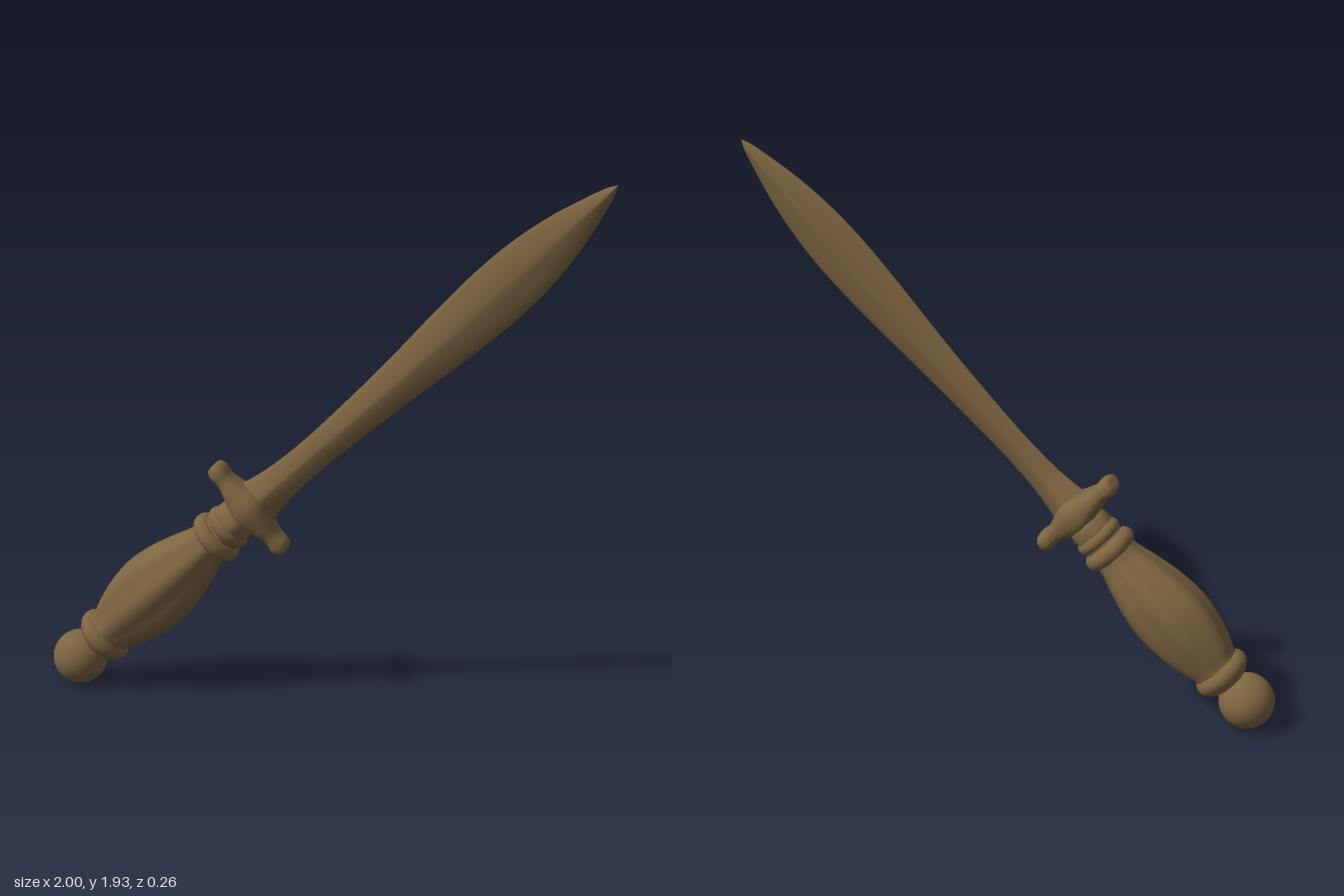
import * as THREE from 'three';

// Closed loft along +y from rows of [height, halfWidthX, halfWidthZ].
// section(angle, v) gives a unit outline point; shift(y) moves the centre in x.
function loft(rows, sides, section, shift = () => 0) {
  const curve = new THREE.CatmullRomCurve3(rows.map((r) => new THREE.Vector3(...r)));
  const steps = (rows.length - 1) * 6;
  const pos = [], index = [];
  for (let j = 0; j <= steps; j++) {
    const v = j / steps, p = curve.getPoint(v);
    for (let i = 0; i < sides; i++) {
      const [x, z] = section((i / sides) * Math.PI * 2, v);
      pos.push(x * Math.max(p.y, 0) + shift(p.x), p.x, z * Math.max(p.z, 0));
      if (j === steps) continue;
      const a = j * sides + i, b = j * sides + ((i + 1) % sides);
      index.push(a, a + sides, b, b, a + sides, b + sides);
    }
  }
  const g = new THREE.BufferGeometry();
  g.setAttribute('position', new THREE.Float32BufferAttribute(pos, 3));
  g.setIndex(index);
  g.computeVertexNormals();
  return g;
}

// Outline with rounded (power 1) to diamond (power 2) corners
const outline = (power) => (a) => [Math.cos(a), Math.sin(a)].map(
  (c) => Math.sign(c) * Math.abs(c) ** power);

export function createModel() {
  const bronze = new THREE.MeshStandardMaterial({ color: 0x7d6541 });
  bronze.name = 'bronze';
  const dagger = new THREE.Group();
  dagger.name = 'dagger';
  const add = (name, geometry) => {
    const mesh = new THREE.Mesh(geometry, bronze);
    mesh.name = name;
    dagger.add(mesh);
    return mesh;
  };

  // Ball pommel
  add('pommel', new THREE.SphereGeometry(0.1, 40, 28));

  // Swollen grip with soft, slightly twisted flutes
  const flutes = (a, v) => {
    const r = 1 + 0.035 * Math.sin(Math.PI * v) * Math.cos(7 * a + 2.5 * v);
    return [r * Math.cos(a), r * Math.sin(a)];
  };
  add('grip', loft([
    [0.08, 0, 0], [0.1, 0.085, 0.085], [0.17, 0.09, 0.09], [0.22, 0.11, 0.1],
    [0.3, 0.132, 0.117], [0.4, 0.142, 0.126], [0.5, 0.13, 0.122],
    [0.6, 0.105, 0.105], [0.68, 0.082, 0.085], [0.76, 0.077, 0.077],
    [0.86, 0.07, 0.07], [0.88, 0, 0],
  ], 56, flutes));

  // Rounded collars at both ends of the grip
  for (const [name, s, radius, tube] of [
    ['pommelCollar', 0.135, 0.071, 0.036],
    ['upperCollar', 0.73, 0.07, 0.032],
    ['guardCollar', 0.79, 0.062, 0.026],
  ]) {
    const collar = add(name, new THREE.TorusGeometry(radius, tube, 14, 44));
    collar.rotation.x = Math.PI / 2;
    collar.position.y = s;
  }

  // Crossguard: thick centre, narrow necks, flared ends
  const guard = add('guard', loft([
    [-0.2, 0, 0], [-0.195, 0.026, 0.04], [-0.172, 0.035, 0.051],
    [-0.13, 0.032, 0.053], [-0.075, 0.046, 0.068], [0, 0.068, 0.083],
    [0.075, 0.046, 0.068], [0.13, 0.032, 0.053], [0.172, 0.035, 0.051],
    [0.195, 0.026, 0.04], [0.2, 0, 0],
  ], 32, outline(0.8), (t) => 0.06 * t));
  guard.rotation.z = -Math.PI / 2;
  guard.position.y = 0.9;

  // Leaf-shaped blade with a central ridge, flaring where it meets the guard
  add('blade', loft([
    [0.88, 0, 0], [0.9, 0.09, 0.055], [0.97, 0.079, 0.045], [1.06, 0.066, 0.029],
    [1.2, 0.06, 0.023], [1.4, 0.066, 0.025], [1.65, 0.08, 0.028],
    [1.9, 0.099, 0.029], [2.1, 0.107, 0.029], [2.25, 0.1, 0.028],
    [2.4, 0.077, 0.025], [2.53, 0.043, 0.02], [2.61, 0.017, 0.013], [2.641, 0, 0],
  ], 32, outline(1.5), (s) => 0.012 * Math.sin(Math.PI * Math.min(1, Math.max(0, (s - 0.9) / 1.74)))));

  // Lean the whole dagger so the tip points up to the model's left
  dagger.rotation.z = -THREE.MathUtils.degToRad(46);
  dagger.position.set(-0.9, 0.1, 0);
  const model = new THREE.Group();
  model.name = 'leaningDagger';
  model.add(dagger);
  return model;
}
